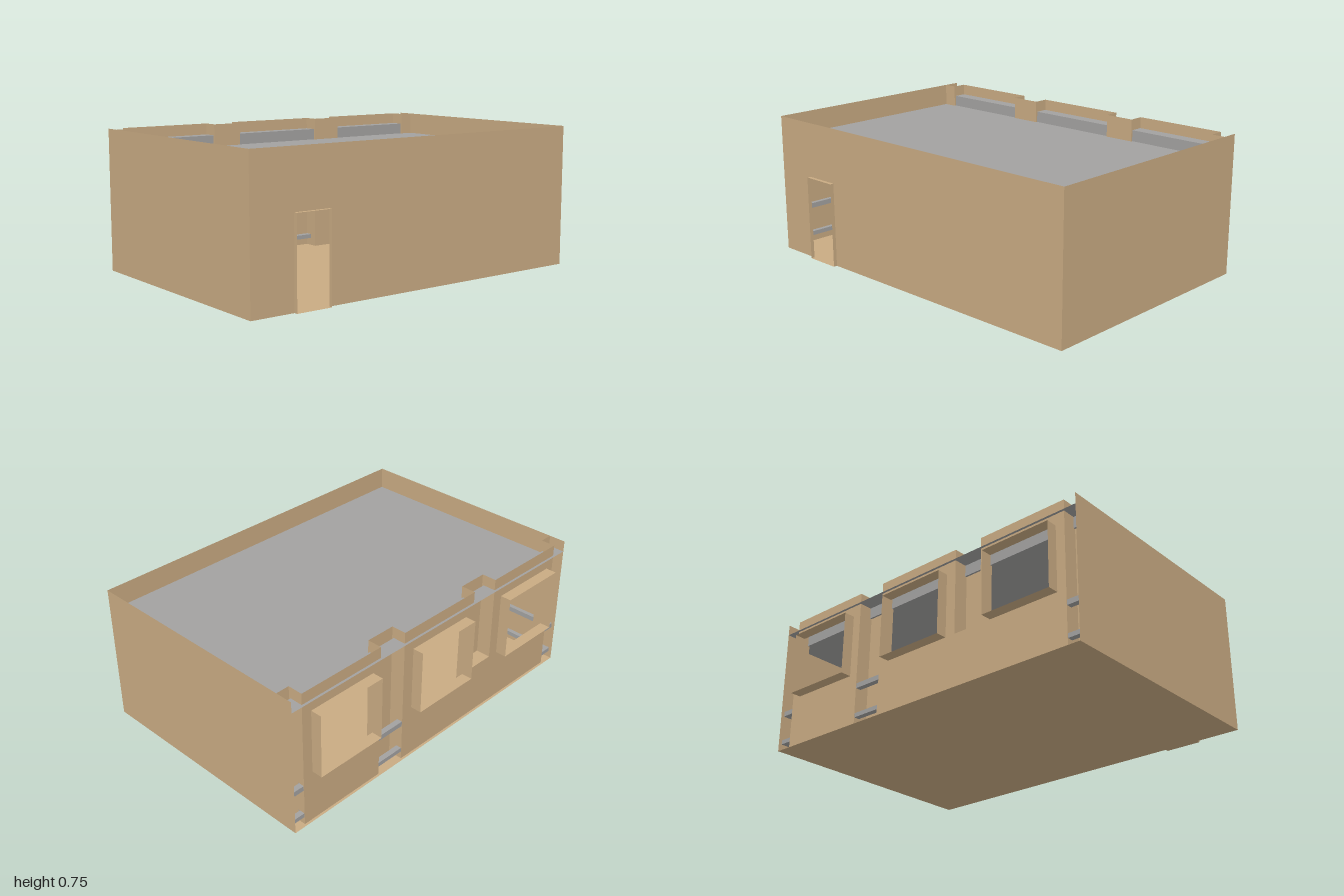
import * as THREE from 'three';

export function createModel() {
  const model = new THREE.Group();
  const tan = new THREE.MeshStandardMaterial({ color: 0xc8aa82, side: THREE.DoubleSide });
  tan.name = 'tan wall';
  const grey = new THREE.MeshStandardMaterial({ color: 0xa2a1a0, side: THREE.DoubleSide });
  grey.name = 'grey ceiling';

  const add = (name, geometry, material, x = 0, y = 0, z = 0) => {
    const mesh = new THREE.Mesh(geometry, material);
    mesh.name = name;
    mesh.position.set(x, y, z);
    model.add(mesh);
    return mesh;
  };
  const rect = (type, x0, x1, y0, y1) => {
    const s = new type();
    s.moveTo(x0, y0); s.lineTo(x1, y0); s.lineTo(x1, y1); s.lineTo(x0, y1);
    s.closePath();
    return s;
  };
  // Sheets facing z, x and y
  const sheetZ = (name, x0, x1, y0, y1, z, mat, hole) => {
    const s = rect(THREE.Shape, x0, x1, y0, y1);
    if (hole) s.holes.push(rect(THREE.Path, ...hole));
    return add(name, new THREE.ShapeGeometry(s), mat, 0, 0, z);
  };
  const sheetX = (name, x, y0, y1, z0, z1, mat) => {
    const m = add(name, new THREE.PlaneGeometry(z1 - z0, y1 - y0), mat, x, (y0 + y1) / 2, (z0 + z1) / 2);
    m.rotation.y = x < 0 ? -Math.PI / 2 : Math.PI / 2;
  };
  const sheetY = (name, x0, x1, y, z0, z1, mat, down) => {
    const m = add(name, new THREE.PlaneGeometry(x1 - x0, z1 - z0), mat, (x0 + x1) / 2, y, (z0 + z1) / 2);
    m.rotation.x = down ? Math.PI / 2 : -Math.PI / 2;
  };
  // Four thin sheets lining an opening
  const sleeve = (name, x0, x1, y0, y1, z0, z1, bottom) => {
    for (const x of [x0, x1]) sheetX(name + 'Side', x, y0, y1, z0, z1, tan);
    sheetY(name + 'Top', x0, x1, y1, z0, z1, tan);
    if (bottom) sheetY(name + 'Sill', x0, x1, y0, z0, z1, tan);
  };

  const H = 0.75, front = 0.675, back = -0.648, panelZ = -0.635, nicheZ = -0.555;

  // Floor, side walls and front wall with its doorway
  sheetY('floor', -1, 1, 0, back, front, tan, true);
  for (const x of [-1, 1]) sheetX('sideWall', x, 0, H, back, front, tan);
  const s = new THREE.Shape();
  [[-1, 0], [-0.765, 0], [-0.765, 0.455], [-0.57, 0.455], [-0.57, 0], [1, 0], [1, H], [-1, H]]
    .forEach(([x, y], i) => (i ? s.lineTo(x, y) : s.moveTo(x, y)));
  add('frontWall', new THREE.ShapeGeometry(s), tan, 0, 0, front);
  sleeve('doorFrame', -0.765, -0.57, 0, 0.455, front, 0.695, true);

  // Back wall panels with projecting window frames
  const bays = [
    { panel: [-0.925, -0.42], win: [-0.875, -0.48] },
    { panel: [-0.255, 0.26], win: [-0.198, 0.196] },
    { panel: [0.425, 0.927], win: [0.475, 0.872] },
  ];
  for (const { panel, win } of bays) {
    sheetZ('windowWall', ...panel, 0, H, panelZ, tan, [...win, 0.285, 0.63]);
    sleeve('windowFrame', ...win, 0.285, 0.63, -0.695, panelZ, true);
    for (const x of panel) sheetX('nicheSide', x, 0, H, panelZ, nicheZ, tan);
  }
  // Recessed niches between and beside the panels
  for (const [x0, x1] of [[-1, -0.925], [-0.42, -0.255], [0.26, 0.425], [0.927, 1]])
    sheetZ('nicheWall', x0, x1, 0, H, nicheZ, tan);
  sheetZ('nicheApron', -0.42, -0.255, 0, 0.285, panelZ, tan);
  sheetY('nicheLedge', -0.42, -0.255, 0.285, panelZ, nicheZ, tan);

  // Ceiling with a raised strip along the windows
  sheetY('ceiling', -1, 1, 0.63, -0.565, front, grey);
  sheetZ('ceilingStep', -1, 1, 0.63, 0.69, -0.565, grey);
  sheetY('raisedCeiling', -1, 1, 0.69, back, -0.565, grey);

  // Horizontal service rails along the back and side walls
  for (const [y0, y1] of [[0.042, 0.065], [0.203, 0.23]]) {
    const h = y1 - y0, y = (y0 + y1) / 2;
    add('backRail', new THREE.BoxGeometry(1.99, h, 0.03), grey, 0, y, -0.618);
    for (const x of [-0.985, 0.985])
      add('sideRail', new THREE.BoxGeometry(0.025, h, 1.29), grey, x, y, 0.015);
    // Inner faces of the rails below the windows
    for (const { panel } of bays)
      add('innerRail', new THREE.BoxGeometry(panel[1] - panel[0], h, 0.01), grey, (panel[0] + panel[1]) / 2, y, -0.6);
  }
  return model;
}
